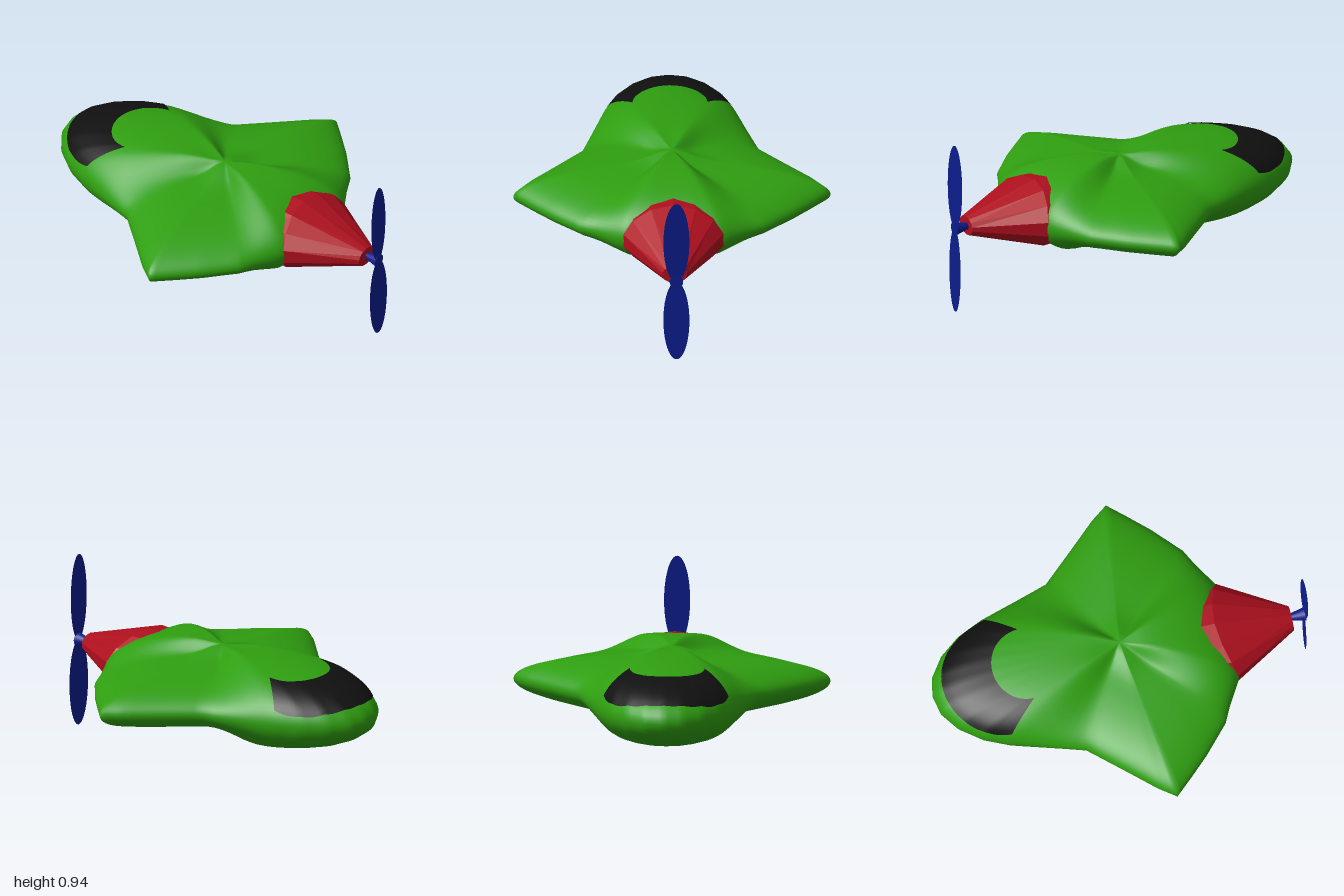
import * as THREE from 'three';

const MID = 0.472; // height of the centre line
const paint = (color) => new THREE.MeshStandardMaterial({ color, side: THREE.DoubleSide });

// Right half of the plan outline, tail to nose: [x, z]
const HALF = [
  [0, -1], [0.1, -0.98], [0.2, -0.91], [0.285, -0.8], [0.345, -0.67], [0.4, -0.5],
  [0.47, -0.285], [0.63, -0.11], [0.76, 0.03], [0.827, 0.12], [0.74, 0.215],
  [0.64, 0.32], [0.49, 0.455], [0.4, 0.5], [0.265, 0.58], [0.14, 0.6], [0, 0.6],
];

// Distance from the centre to the outline in the direction of (x, z)
function reach(x, z) {
  const len = Math.hypot(x, z) || 1;
  const dx = Math.abs(x) / len, dz = z / len;
  for (let i = 0; i < HALF.length - 1; i++) {
    const [ax, az] = HALF[i], [bx, bz] = HALF[i + 1];
    if (ax * dz - az * dx >= -1e-9 && dx * bz - dz * bx >= -1e-9) {
      return (ax * bz - az * bx) / (dx * (bz - az) - dz * (bx - ax));
    }
  }
  return 1;
}

// Half thickness: full along the fuselage, thin in the wings, pinched at the centre
function thickness(x, z, t) {
  const angle = Math.atan2(Math.abs(x), Math.abs(z)) * 180 / Math.PI;
  const wing = z < 0
    ? THREE.MathUtils.smoothstep(angle, 22, 56)
    : THREE.MathUtils.smoothstep(angle, 20, 50);
  const full = THREE.MathUtils.lerp(0.228, 0.158, wing);
  const power = THREE.MathUtils.lerp(2.7, 2, wing);
  const height = full + (0.208 - full) * Math.exp(-((t / 0.16) ** 2));
  return height * Math.sqrt(Math.max(0, 1 - t ** power));
}

// Surface from a grid of points given by f(u, v)
function gridGeometry(nu, nv, f) {
  const pos = [], index = [];
  for (let j = 0; j <= nv; j++) {
    for (let i = 0; i <= nu; i++) pos.push(...f(i / nu, j / nv));
  }
  for (let j = 0; j < nv; j++) {
    for (let i = 0; i < nu; i++) {
      const a = j * (nu + 1) + i, b = a + nu + 1;
      index.push(a, b, a + 1, b, b + 1, a + 1);
    }
  }
  const g = new THREE.BufferGeometry();
  g.setAttribute('position', new THREE.Float32BufferAttribute(pos, 3));
  g.setIndex(index);
  g.computeVertexNormals();
  return g;
}

// Closed body: rings run from the top pole out to the rim and back to the bottom pole
function bodyGeometry() {
  const rim = [];
  const full = [...HALF, ...HALF.slice(1, -1).reverse().map(([x, z]) => [-x, z])];
  const SUB = 4;
  full.forEach(([ax, az], i) => {
    const [bx, bz] = full[(i + 1) % full.length];
    for (let k = 0; k < SUB; k++) {
      rim.push([ax + (bx - ax) * k / SUB, az + (bz - az) * k / SUB]);
    }
  });
  const n = rim.length, rows = 40;
  const pos = [0, MID + 0.208, 0], index = [];
  for (let j = 1; j < rows; j++) {
    const phi = Math.PI * j / rows, t = Math.sin(phi);
    for (const [x, z] of rim) {
      const y = j === rows / 2 ? 0 : thickness(x, z, t) * Math.sign(Math.cos(phi));
      pos.push(x * t, MID + y, z * t);
    }
  }
  pos.push(0, MID - 0.208, 0);
  const last = pos.length / 3 - 1;
  for (let i = 0; i < n; i++) {
    const k = (i + 1) % n;
    index.push(0, 1 + k, 1 + i);
    for (let j = 0; j < rows - 2; j++) {
      const a = 1 + j * n + i, b = 1 + j * n + k;
      index.push(a, b, a + n, b, b + n, a + n);
    }
    index.push(last, last - n + i, last - n + k);
  }
  const g = new THREE.BufferGeometry();
  g.setAttribute('position', new THREE.Float32BufferAttribute(pos, 3));
  g.setIndex(index);
  g.computeVertexNormals();
  return g;
}

// Window band draped over the tail dome between two arcs
function windowGeometry() {
  return gridGeometry(40, 12, (u, v) => {
    const a = (u * 2 - 1) * Math.PI / 2;
    const outerA = a * 0.87;
    const inner = [0.195 * Math.sin(a), -0.5 - 0.18 * Math.cos(a)];
    const outer = [0.326 * Math.sin(outerA) / Math.sin(0.87 * Math.PI / 2),
      -0.575 - 0.37 * Math.cos(outerA)];
    const x = THREE.MathUtils.lerp(outer[0], inner[0], v);
    const z = THREE.MathUtils.lerp(outer[1], inner[1], v);
    const t = Math.hypot(x, z) / reach(x, z);
    return [x, MID + thickness(x, z, t) + 0.005, z];
  });
}

// Faceted nose: rings from the buried base to the small front face
function noseGeometry() {
  const rings = [
    { rx: 0.25, ry: 0.172, z: 0.4, bow: 0.08 },
    { rx: 0.268, ry: 0.174, z: 0.51, bow: 0.07 },
    { rx: 0.066, ry: 0.05, z: 0.92, bow: 0 },
    { rx: 0, ry: 0, z: 0.92, bow: 0 },
  ];
  const g = gridGeometry(14, 3, (u, v) => {
    const r = rings[Math.round(v * 3)];
    const a = u * Math.PI * 2 + Math.PI / 14;
    return [r.rx * Math.cos(a), MID + r.ry * Math.sin(a), r.z + r.bow * Math.cos(a) ** 2];
  });
  // grid winding faces inward for a ring path going forward, so flip it
  const idx = g.index.array;
  for (let i = 0; i < idx.length; i += 3) [idx[i + 1], idx[i + 2]] = [idx[i + 2], idx[i + 1]];
  const flat = g.toNonIndexed();
  flat.computeVertexNormals();
  return flat;
}

export function createModel() {
  const model = new THREE.Group();
  model.name = 'aircraft';
  const add = (parent, name, geometry, material) => {
    const mesh = new THREE.Mesh(geometry, material);
    mesh.name = name;
    parent.add(mesh);
    return mesh;
  };

  add(model, 'body', bodyGeometry(), paint(0x2f9e10));
  add(model, 'window', windowGeometry(), paint(0x101010));
  add(model, 'nose', noseGeometry(), paint(0xae0f1e));

  // Propeller: flared hub and two slightly pitched oval blades
  const blue = paint(0x0c1c8c);
  const propeller = new THREE.Group();
  propeller.name = 'propeller';
  propeller.position.set(0.008, MID, 0);
  const hub = add(propeller, 'hub', new THREE.CylinderGeometry(0.036, 0.016, 0.085, 16), blue);
  hub.rotation.x = Math.PI / 2;
  hub.position.z = 0.953;
  for (const side of [1, -1]) {
    const blade = add(propeller, side > 0 ? 'upperBlade' : 'lowerBlade',
      new THREE.CircleGeometry(1, 40), blue);
    blade.scale.set(0.068, 0.236, 1);
    blade.position.set(0, side * 0.236, 0.992);
    blade.rotation.y = side * 0.07;
  }
  model.add(propeller);
  return model;
}
